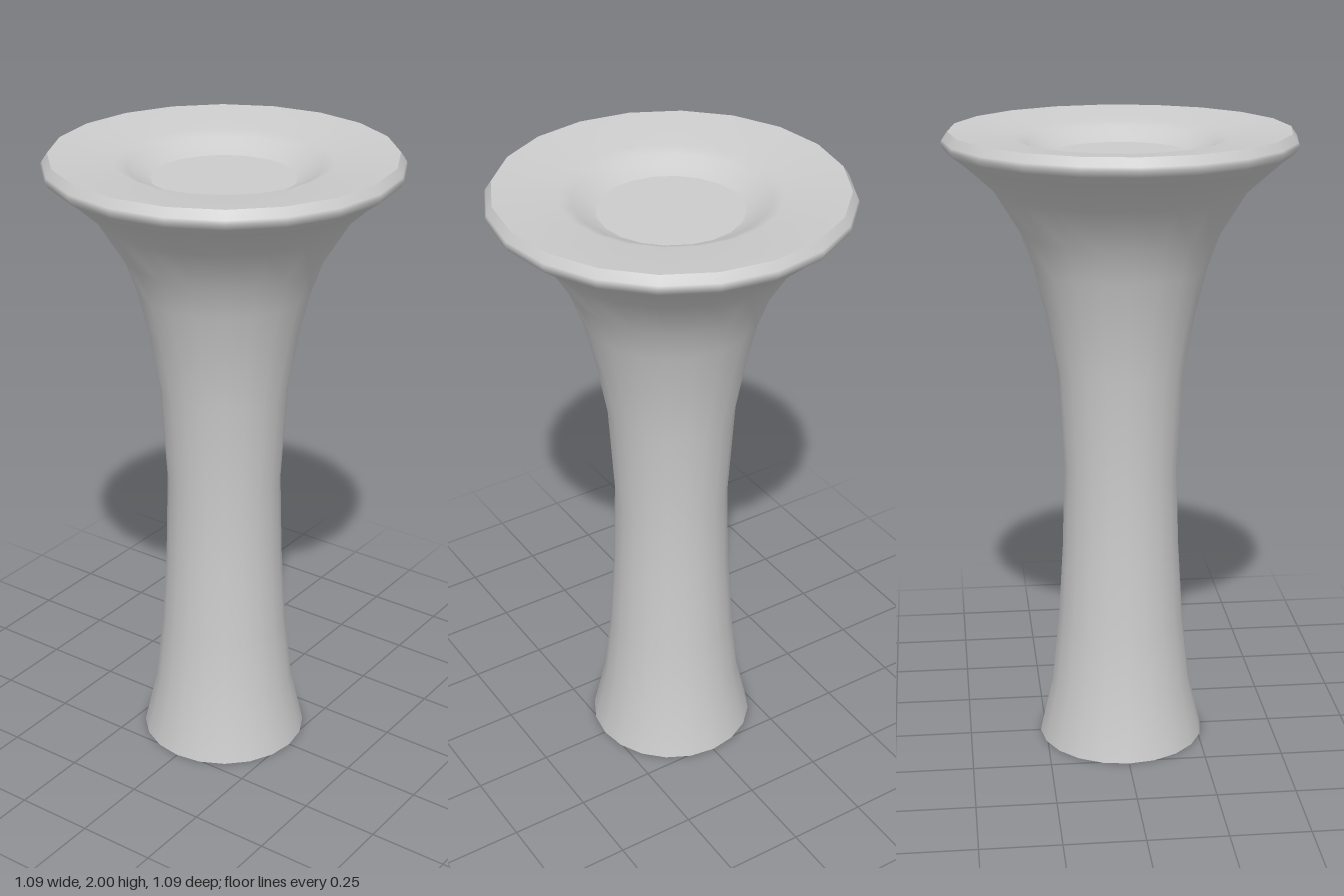
import * as THREE from 'three';

const SIDES = 20;

export function createModel() {
  const group = new THREE.Group();
  group.name = 'flaredPedestal';
  const material = new THREE.MeshStandardMaterial({ color: 0xcccccc });

  // Each profile is a list of [radius, height]; separate lathes keep the creases sharp.
  const addLathe = (name, profile) => {
    const points = profile.map(([r, y]) => new THREE.Vector2(r, y));
    const mesh = new THREE.Mesh(new THREE.LatheGeometry(points, SIDES), material);
    mesh.name = name;
    group.add(mesh);
  };

  // Flat underside
  addLathe('base', [[0, 0], [0.268, 0]]);

  // Waisted column flaring out into the rounded rim
  addLathe('column', [
    [0.268, 0], [0.225, 0.19], [0.203, 0.41], [0.188, 0.66], [0.181, 0.93],
    [0.201, 1.25], [0.234, 1.43], [0.27, 1.58], [0.31, 1.69], [0.39, 1.82],
    [0.495, 1.915], [0.535, 1.945], [0.545, 1.965], [0.54, 1.975], [0.523, 2],
  ]);

  // Shallow top sloping down into the hollow
  addLathe('dish', [
    [0.523, 2], [0.33, 1.978], [0.29, 1.963], [0.258, 1.94], [0.22, 1.925],
  ]);

  // Floor of the hollow
  addLathe('dishFloor', [[0.22, 1.925], [0, 1.925]]);

  return group;
}
